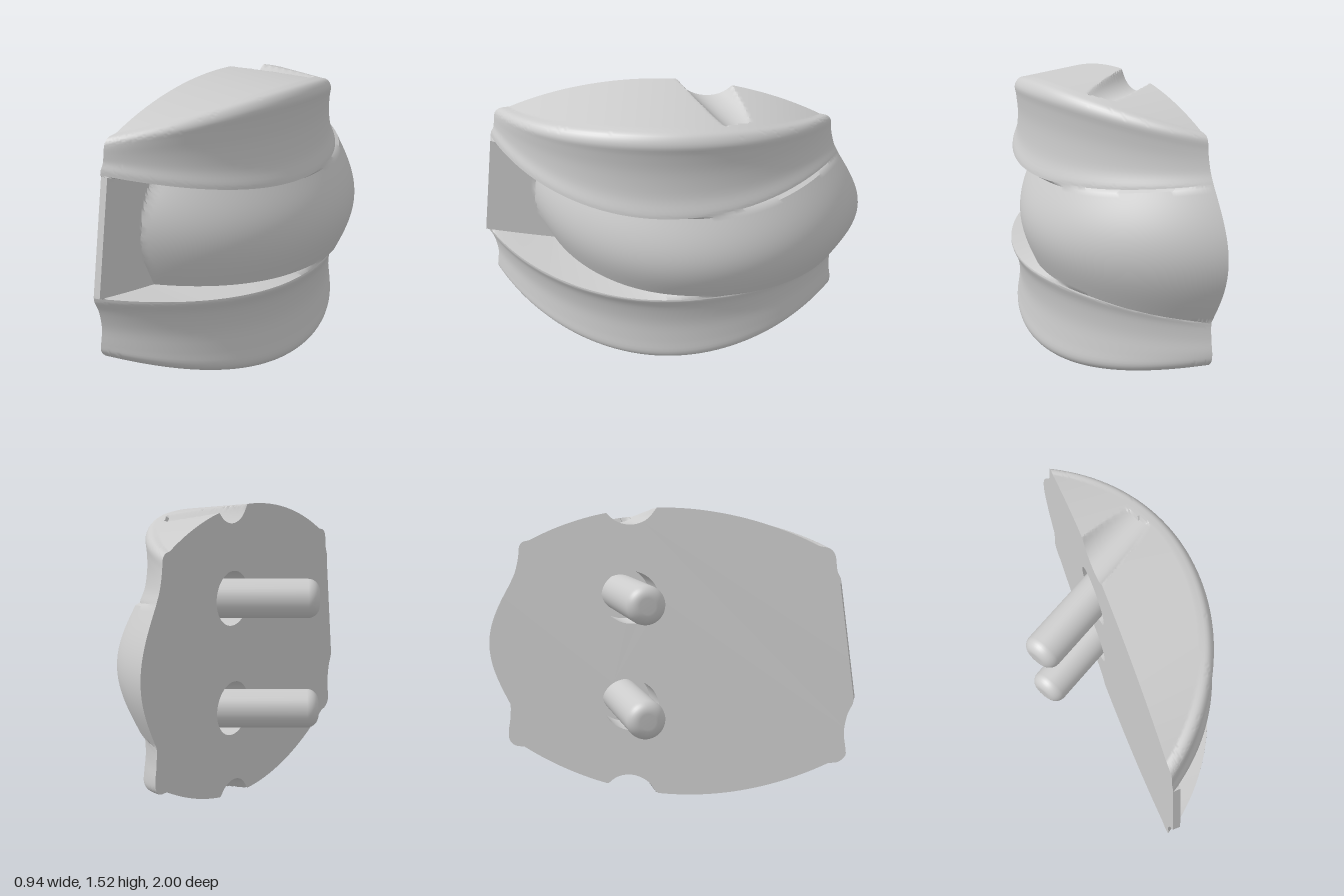
import * as THREE from 'three';
import { toCreasedNormals } from 'three/addons/utils/BufferGeometryUtils.js';

const BACK = -0.065;   // plane of the flat back
const WALL = -0.025;   // bottom of the side recess
const COLS = 160;
const CAP = 36;
const PIN_Z = -0.18;   // where the pin axes cross the flat back
const DIR = new THREE.Vector3(-Math.cos(Math.PI / 6), 0, 0.5);

// Profile stations: y at front end, middle, back end | z front, x middle, z back
const lowerBand = [
  [0.235, 0.04, 0.20, 0.88, 0.33, -0.80],
  [0.245, 0.05, 0.205, 0.93, 0.375, -0.86],
  [0.28, 0.09, 0.235, 0.965, 0.40, -0.89],
  [0.32, 0.17, 0.28, 0.965, 0.39, -0.895],
  [0.40, 0.29, 0.34, 0.955, 0.38, -0.885],
  [0.49, 0.41, 0.40, 0.97, 0.395, -0.88],
  [0.545, 0.475, 0.425, 0.995, 0.42, -0.88],
  [0.57, 0.49, 0.43, 1.0, 0.42, -0.88],
];
const upperBand = [
  [1.155, 1.015, 1.11, 0.925, 0.42, -0.865],
  [1.18, 1.04, 1.12, 0.92, 0.415, -0.86],
  [1.21, 1.12, 1.16, 0.905, 0.39, -0.84],
  [1.24, 1.25, 1.21, 0.90, 0.38, -0.825],
  [1.28, 1.36, 1.26, 0.895, 0.39, -0.815],
  [1.305, 1.42, 1.305, 0.885, 0.40, -0.81],
  [1.325, 1.465, 1.33, 0.86, 0.375, -0.79],
  [1.335, 1.48, 1.34, 0.81, 0.33, -0.75],
];

// Smooth stations between the given ones
function refine(band, steps) {
  const curve = (o) => new THREE.CatmullRomCurve3(
    band.map((b) => new THREE.Vector3(b[o], b[o + 1], b[o + 2])), false, 'catmullrom', 0.5);
  const ys = curve(0), ends = curve(3), n = (band.length - 1) * steps;
  return Array.from({ length: n + 1 }, (_, i) =>
    [...ys.getPoint(i / n).toArray(), ...ends.getPoint(i / n).toArray()]);
}

// Rounded middle band; the extra value is where its own arc starts in z
function bulgeBand(n) {
  const lerp = THREE.MathUtils.lerp;
  return Array.from({ length: n + 1 }, (_, i) => {
    const t = i / n, s = Math.sin(Math.PI * t);
    return [lerp(0.575, 1.15, t), lerp(0.505, 1.0, t), lerp(0.435, 1.1, t),
      lerp(1.0, 0.92, t), 0.395 + 0.075 * s, lerp(-0.88, -0.87, t) - 0.125 * s, 0.65 + 0.085 * s];
  });
}

// Circular arc in plan through both ends on the back plane
function arcX(z, zF, zB, xM) {
  const c = (zF + zB) / 2, h = (zF - zB) / 2, s = xM - BACK;
  const R = (h * h + s * s) / (2 * s);
  return xM - R + Math.sqrt(Math.max(0, R * R - (z - c) ** 2));
}

function stationRow([yF, yM, yB, zF, xM, zB, zA]) {
  const row = [new THREE.Vector3(BACK, yF, zF)];
  for (let j = 0; j <= COLS; j++) {
    const z = (zF + zB) / 2 + (zF - zB) / 2 * Math.cos(Math.PI * j / COLS);
    const floor = zA && z > 0 ? WALL : BACK;
    const y = z > 0 ? yM + (yF - yM) * (z / zF) ** 2 : yM + (yB - yM) * (z / zB) ** 2;
    row.push(new THREE.Vector3(Math.max(floor, arcX(z, zA ?? zF, zB, xM)), y, z));
  }
  return row;
}

// End surface from a rim to the back, with a round groove along the pin direction
function capRows(rim, side) {
  const r = 0.13, yc = side > 0 ? 1.56 : -0.04;
  return Array.from({ length: CAP }, (_, k) => rim.map((p) => {
    const x = THREE.MathUtils.lerp(p.x, BACK, (k + 1) / CAP);
    let y = p.y + side * 0.1 * (p.x - x);
    const along = -(x - BACK) * DIR.x - (p.z - PIN_Z) * DIR.z;
    const across = (x - BACK) * DIR.z - (p.z - PIN_Z) * DIR.x;
    if (along < 0.334 && Math.abs(across) < r) {
      const g = yc - side * Math.sqrt(r * r - across * across);
      y = side > 0 ? Math.min(y, g) : Math.max(y, g);
    }
    return new THREE.Vector3(x, y, p.z);
  }));
}

function gridGeometry(rows) {
  const w = rows[0].length, index = [];
  for (let i = 0; i < rows.length - 1; i++) {
    for (let j = 0; j < w - 1; j++) {
      const a = i * w + j, c = a + w;
      index.push(a, a + 1, c, a + 1, c + 1, c);
    }
  }
  const g = new THREE.BufferGeometry().setFromPoints(rows.flat());
  g.setIndex(index);
  return toCreasedNormals(g, 0.6);
}

export function createModel() {
  const model = new THREE.Group();
  const material = new THREE.MeshStandardMaterial({ color: 0xcccccc });
  const inner = new THREE.MeshStandardMaterial({ color: 0xcccccc, side: THREE.DoubleSide });
  const add = (name, geometry, mat = material) => {
    const mesh = new THREE.Mesh(geometry, mat);
    mesh.name = name;
    model.add(mesh);
    return mesh;
  };

  // Curved body: bottom, lower band, bulge, upper band and top in one skin
  const bands = [...refine(lowerBand, 4), ...bulgeBand(28), ...refine(upperBand, 4)].map(stationRow);
  const rows = [
    ...capRows(bands[0], -1).reverse(), ...bands, ...capRows(bands[bands.length - 1], 1)];
  add('body', gridGeometry(rows));

  // Flat back with oval openings for the pins
  const flat = (p) => new THREE.Vector2(p.z, p.y);
  const outline = [
    ...bands.map((r) => r[0]),
    ...rows[rows.length - 1].slice(1, -1),
    ...bands.map((r) => r[r.length - 1]).reverse(),
    ...rows[0].slice(1, -1).reverse(),
  ].map(flat).filter((p, i, all) => i === 0 || p.distanceTo(all[i - 1]) > 1e-4);
  const shape = new THREE.Shape(outline);
  const pinHeights = [0.475, 1.05];
  for (const y of pinHeights) {
    shape.holes.push(new THREE.Path().absellipse(PIN_Z, y, 0.16, 0.14, 0, Math.PI * 2, true));
  }
  const back = new THREE.ShapeGeometry(shape, 24);
  back.rotateY(-Math.PI / 2);
  back.translate(BACK, 0, 0);
  add('flatBack', back);

  // Pins with rounded tips, each in a slanted socket
  const profile = [new THREE.Vector2(0.1, -0.3)];
  for (let i = 0; i <= 8; i++) {
    const a = i / 8 * Math.PI / 2;
    profile.push(new THREE.Vector2(0.04 + 0.06 * Math.cos(a), 0.381 + 0.06 * Math.sin(a)));
  }
  profile.push(new THREE.Vector2(0, 0.441));
  const pinGeometry = new THREE.LatheGeometry(profile, 40);
  for (const y of pinHeights) {
    const pin = add('pin', pinGeometry);
    pin.position.set(BACK, y, PIN_Z);
    pin.quaternion.setFromUnitVectors(new THREE.Vector3(0, 1, 0), DIR);

    const ring = (depth, scale) => Array.from({ length: 49 }, (_, i) => {
      const a = i / 48 * Math.PI * 2;
      return new THREE.Vector3(BACK - depth * DIR.x, y + 0.14 * scale * Math.sin(a),
        PIN_Z - depth * DIR.z + 0.16 * scale * Math.cos(a));
    });
    add('pinSocket', gridGeometry([ring(0, 1), ring(0.25, 1), ring(0.25, 0)]), inner);
  }
  return model;
}
